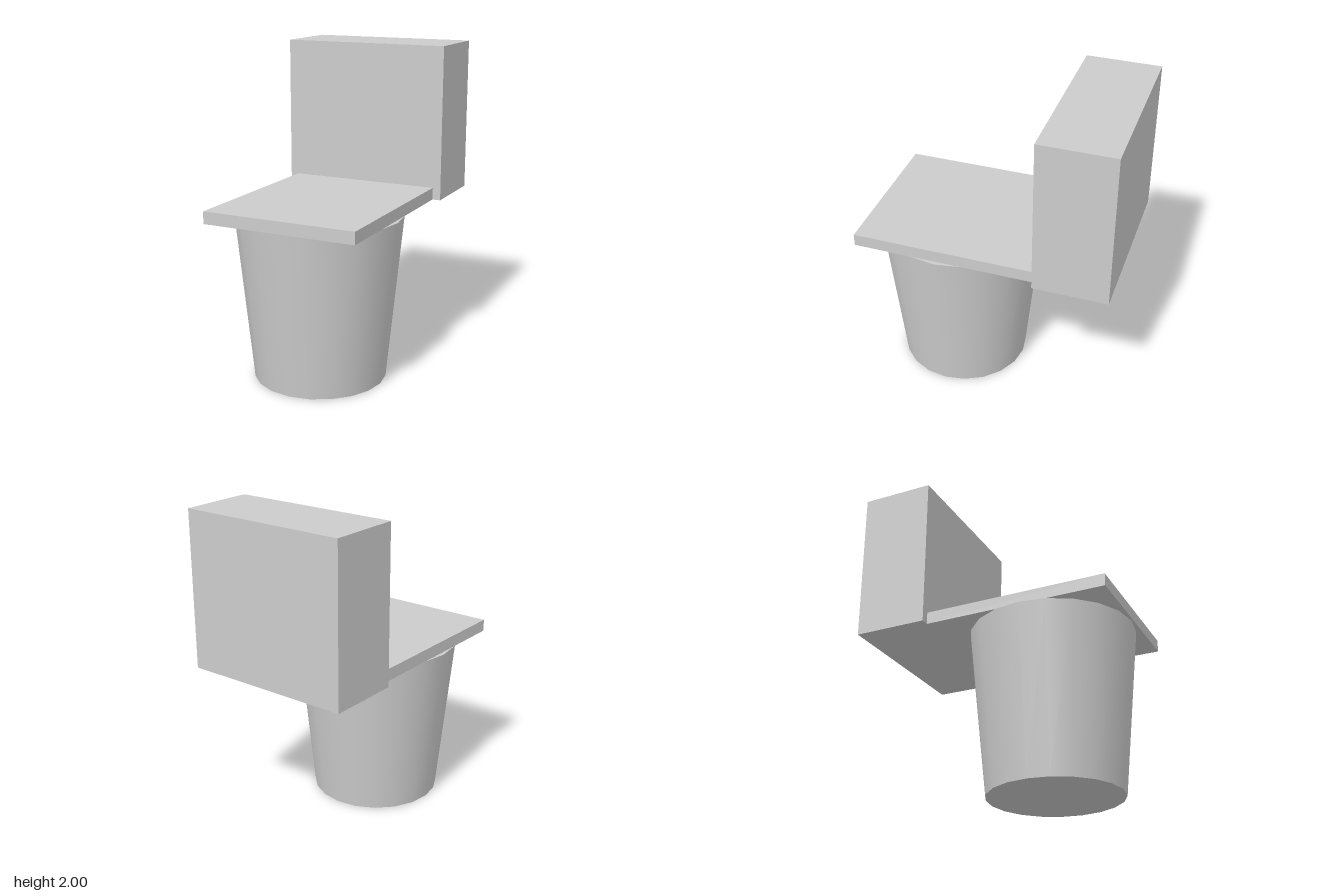
import * as THREE from 'three';

export function createModel() {
  const group = new THREE.Group();
  const porcelain = new THREE.MeshStandardMaterial({ color: 0xcccccc });
  porcelain.name = 'porcelain grey';

  const add = (name, geometry, x, y, z) => {
    const mesh = new THREE.Mesh(geometry, porcelain);
    mesh.name = name;
    mesh.position.set(x, y, z);
    group.add(mesh);
  };

  const deck = 1.03; // height of the bowl rim, where lid and tank begin

  // Tapered bowl, smooth sides with 20 segments
  add('bowl', new THREE.CylinderGeometry(0.513, 0.41, deck, 20), 0, deck / 2, 0.277);
  // Flat lid reaching from the tank to the front
  add('lid', new THREE.BoxGeometry(0.973, 0.076, 1.143), 0, deck + 0.038, 0.2295);
  // Water tank at the back
  add('tank', new THREE.BoxGeometry(1.076, 2 - deck, 0.459), 0, (2 + deck) / 2, -0.5715);

  return group;
}
